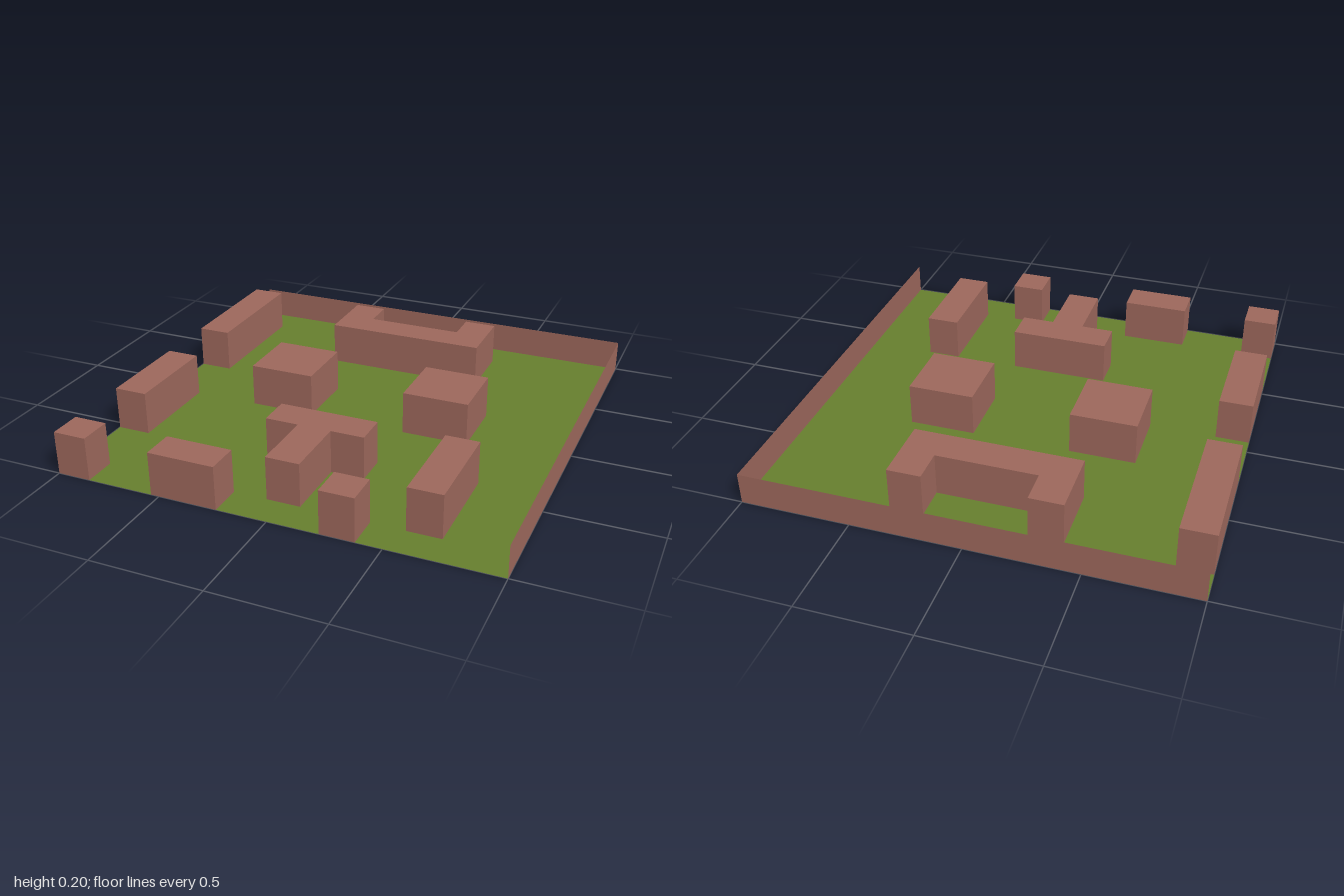
import * as THREE from 'three';
import { mergeGeometries } from 'three/addons/utils/BufferGeometryUtils.js';

// The yard is a 13 x 13 grid of cells
const CELL = 2 / 13, BLOCK_H = 0.2, FENCE_H = 0.146;
const pos = (i) => -1 + i * CELL;

// Corners are [column, row], clockwise as seen from above
const rect = (x0, z0, x1, z1) => [[x0, z0], [x1, z0], [x1, z1], [x0, z1]];

const innerBlocks = {
  uBlock: [[4, 1], [5, 1], [5, 2], [8, 2], [8, 1], [9, 1], [9, 3], [4, 3]],
  squareBlockRight: rect(3, 5, 5, 7),
  squareBlockLeft: rect(8, 5, 10, 7),
  tBlock: [[5, 9], [8, 9], [8, 10], [7, 10], [7, 12], [6, 12], [6, 10], [5, 10]],
  longBlock: rect(10, 9, 11, 12),
};
const edgeBlocks = {
  sideBlockBack: rect(0, 1, 1, 5),
  sideBlockMiddle: rect(0, 7, 1, 10),
  cornerBlock: rect(0, 12, 1, 13),
  frontBlockWide: rect(3, 12, 5, 13),
  frontBlockNarrow: rect(8, 12, 9, 13),
};

// Ground outline, notched around the blocks on its edges
const groundOutline = [
  [0, 0], [13, 0], [13, 13],
  [9, 13], [9, 12], [8, 12], [8, 13],
  [5, 13], [5, 12], [3, 12], [3, 13],
  [1, 13], [1, 12], [0, 12],
  [0, 10], [1, 10], [1, 7], [0, 7],
  [0, 5], [1, 5], [1, 1], [0, 1],
];

const toPoints = (corners) => corners.map(([x, z]) => new THREE.Vector2(pos(x), -pos(z)));

// Horizontal face at height y, with optional holes
function flatFace(corners, y, holes = []) {
  const shape = new THREE.Shape(toPoints(corners));
  for (const hole of holes) shape.holes.push(new THREE.Path(toPoints(hole)));
  return new THREE.ShapeGeometry(shape).rotateX(-Math.PI / 2).translate(0, y, 0);
}

// Upright panel from corner a to corner b, facing outwards
function panel([ax, az], [bx, bz], height) {
  const dx = bx - ax, dz = bz - az;
  return new THREE.PlaneGeometry(Math.hypot(dx, dz) * CELL, height)
    .rotateY(Math.atan2(dz, -dx))
    .translate(pos((ax + bx) / 2), height / 2, pos((az + bz) / 2));
}

// Hollow block, open underneath
function block(corners) {
  const walls = corners.map((c, i) => panel(c, corners[(i + 1) % corners.length], BLOCK_H));
  return mergeGeometries([flatFace(corners, BLOCK_H), ...walls]);
}

export function createModel() {
  const grass = new THREE.MeshStandardMaterial({ name: 'grass green', color: 0x667f2e, side: THREE.DoubleSide });
  const clay = new THREE.MeshStandardMaterial({ name: 'clay brown', color: 0x9c675b, side: THREE.DoubleSide });

  const model = new THREE.Group();
  model.name = 'mazeYard';
  const add = (name, geometry, material) => {
    const mesh = new THREE.Mesh(geometry, material);
    mesh.name = name;
    model.add(mesh);
  };

  // Ground, open beneath every block
  add('ground', flatFace(groundOutline, 0, Object.values(innerBlocks)), grass);

  // Blocks
  for (const [name, corners] of Object.entries({ ...innerBlocks, ...edgeBlocks })) {
    add(name, block(corners), clay);
  }

  // Thin fences along the back and left sides
  add('backFence', panel([0, 0], [13, 0], FENCE_H), clay);
  add('leftFence', panel([13, 0], [13, 13], FENCE_H), clay);

  return model;
}
